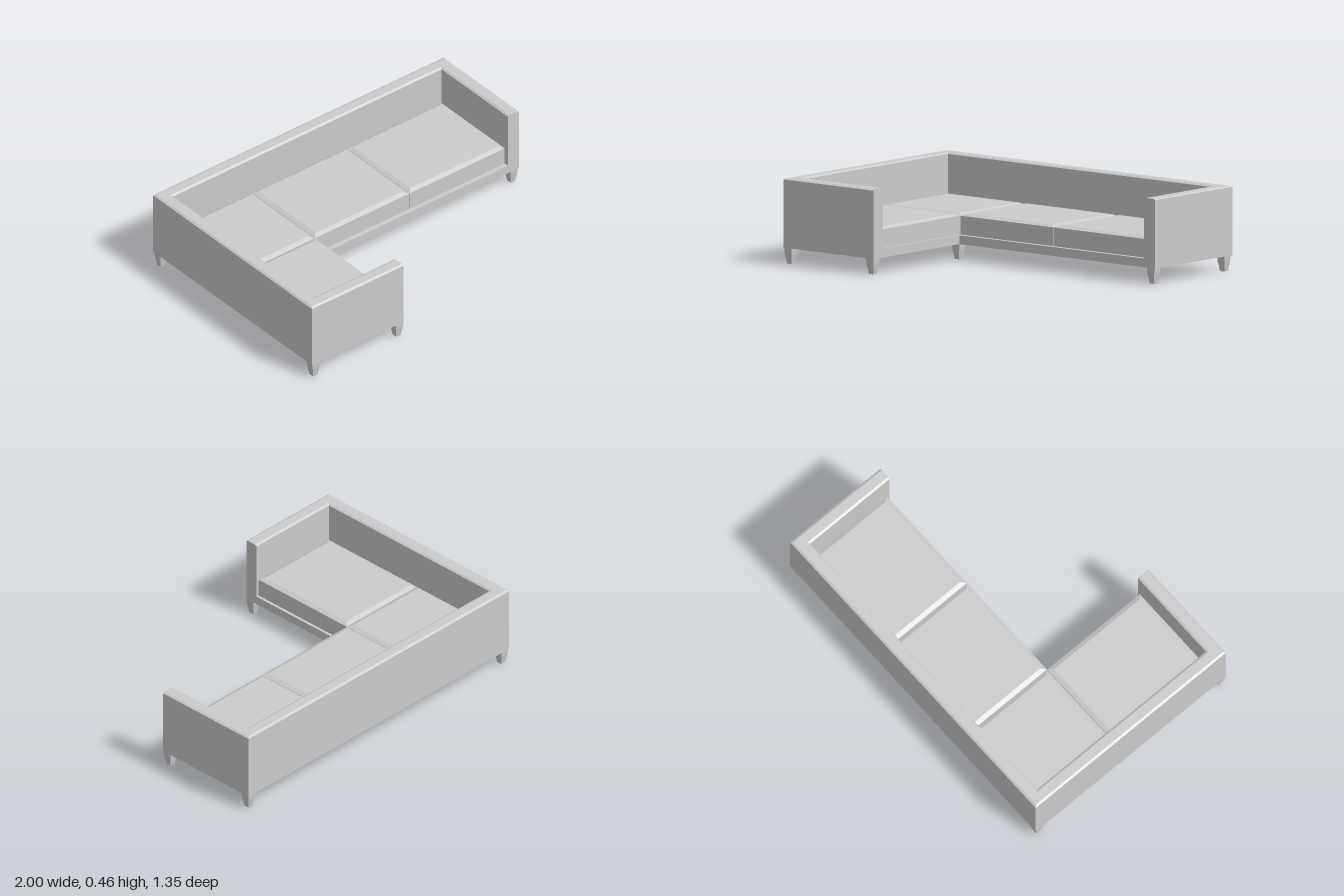
import * as THREE from 'three';

const fabric = new THREE.MeshStandardMaterial({ color: 0xcccccc, flatShading: true });
fabric.name = 'grey fabric';

function addMesh(group, name, geometry) {
  const mesh = new THREE.Mesh(geometry, fabric);
  mesh.name = name;
  group.add(mesh);
  return mesh;
}

// Box with three levels, each given as [height, inset from the full footprint]
function steppedBox(x0, x1, z0, z1, levels) {
  const box = new THREE.BoxGeometry(1, 1, 1, 1, 2, 1);
  const p = box.attributes.position;
  const cx = (x0 + x1) / 2, cz = (z0 + z1) / 2;
  for (let i = 0; i < p.count; i++) {
    const [y, inset] = levels[Math.round((p.getY(i) + 0.5) * 2)];
    p.setXYZ(i,
      cx + Math.sign(p.getX(i)) * ((x1 - x0) / 2 - inset), y,
      cz + Math.sign(p.getZ(i)) * ((z1 - z0) / 2 - inset));
  }
  const geometry = box.toNonIndexed();
  geometry.computeVertexNormals();
  return geometry;
}

// Chamfered wall section swept with mitred corners along the outer edge
function wallGeometry() {
  // [x, z, inward x, inward z]
  const path = [
    [1, -0.037, -1, 0], [1, -0.675, -1, 1], [-1, -0.675, 1, 1],
    [-1, 0.67, 1, -1], [-0.37, 0.67, 0, -1],
  ];
  // [distance inward, height]
  const section = [
    [0, 0.085], [0, 0.454], [0.012, 0.461], [0.064, 0.461], [0.076, 0.454], [0.076, 0.085],
  ];
  const n = section.length, positions = [], index = [];
  for (const [x, z, ix, iz] of path)
    for (const [d, y] of section) positions.push(x + ix * d, y, z + iz * d);
  for (let s = 0; s < path.length - 1; s++)
    for (let j = 0; j < n; j++) {
      const k = (j + 1) % n;
      const a = s * n + j, b = a + n, c = (s + 1) * n + k, d = s * n + k;
      index.push(a, b, c, a, c, d);
    }
  const end = (path.length - 1) * n;
  for (let j = 1; j < n - 1; j++) {
    index.push(0, j, j + 1);
    index.push(end, end + j + 1, end + j);
  }
  const indexed = new THREE.BufferGeometry();
  indexed.setAttribute('position', new THREE.Float32BufferAttribute(positions, 3));
  indexed.setIndex(index);
  const geometry = indexed.toNonIndexed();
  geometry.computeVertexNormals();
  return geometry;
}

export function createModel() {
  const sofa = new THREE.Group();
  sofa.name = 'cornerSofa';

  // Back and arms in one run
  addMesh(sofa, 'backAndArms', wallGeometry());

  // L-shaped seat base
  const outline = new THREE.Shape([
    [-0.924, 0.599], [-0.924, -0.594], [-0.37, 0.594], [-0.37, 0.037],
    [0.924, 0.037], [0.924, 0.599],
  ].sort(() => 0).map(([x, y]) => new THREE.Vector2(x, y)));
  outline.curves.length = 0;
  outline.setFromPoints([
    [-0.924, -0.594], [-0.37, -0.594], [-0.37, 0.037],
    [0.924, 0.037], [0.924, 0.599], [-0.924, 0.599],
  ].map(([x, y]) => new THREE.Vector2(x, y)));
  const base = new THREE.ExtrudeGeometry(outline, { depth: 0.048, bevelEnabled: false });
  base.rotateX(-Math.PI / 2).translate(0, 0.085, 0);
  addMesh(sofa, 'seatBase', base);

  // Seat cushions with bevelled tops: [x0, x1, z0, z1]
  const cushions = [
    [-0.924, -0.386, -0.605 + 0.006, -0.062],
    [-0.384, 0.265, -0.599, -0.062],
    [0.267, 0.922, -0.599, -0.062],
    [-0.924, -0.386, -0.06, 0.594],
  ];
  for (const c of cushions)
    addMesh(sofa, 'seatCushion', steppedBox(...c, [[0.133, 0], [0.234, 0], [0.245, 0.025]]));

  // Square tapered legs
  const legs = [
    [-0.97, 0.645], [-0.397, 0.645], [-0.397, -0.064],
    [0.968, -0.064], [0.968, -0.644], [-0.97, -0.644],
  ];
  for (const [x, z] of legs)
    addMesh(sofa, 'leg', steppedBox(x - 0.026, x + 0.026, z - 0.026, z + 0.026,
      [[0, 0.011], [0.056, 0.002], [0.086, 0]]));

  return sofa;
}
